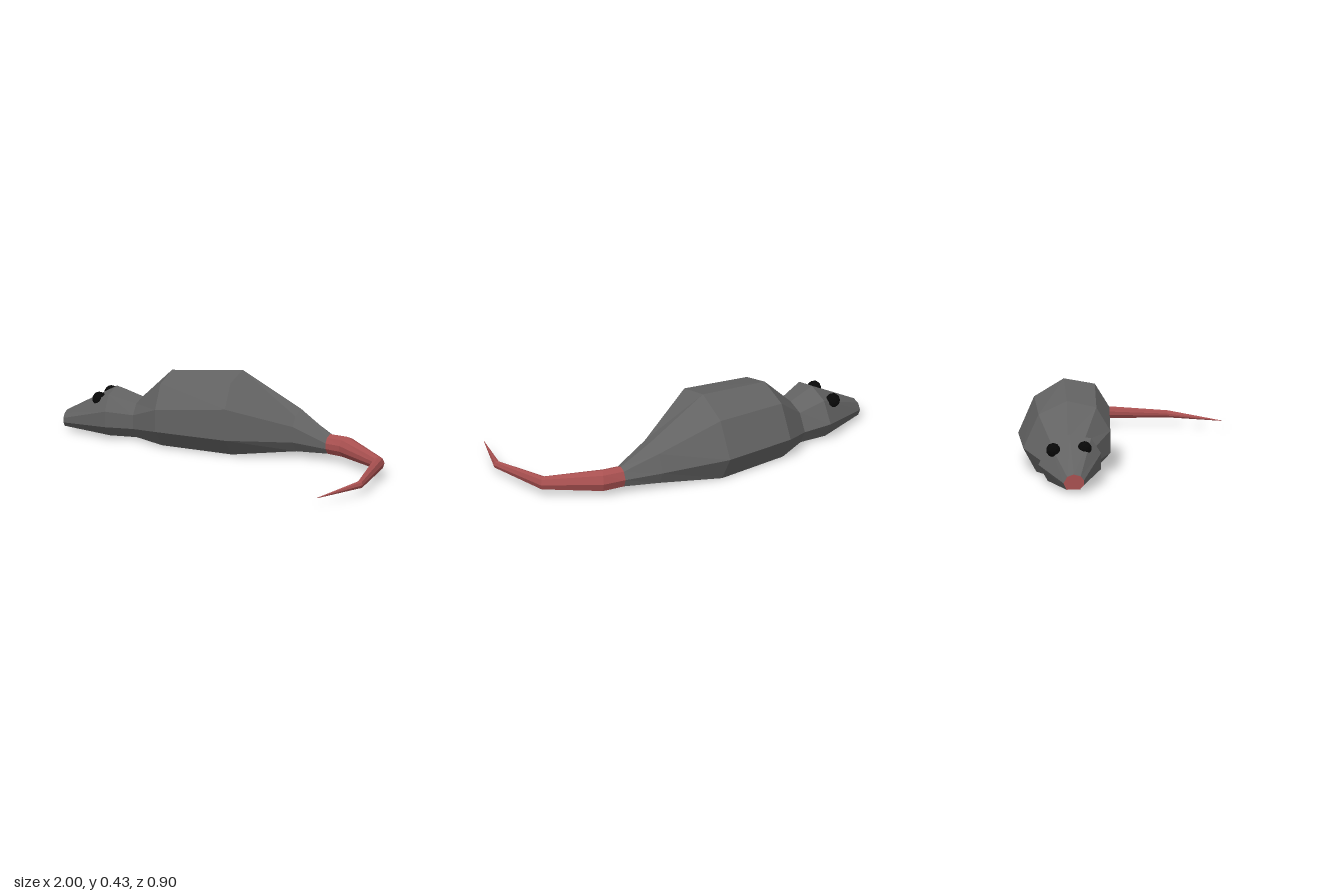
import * as THREE from 'three';

const material = (name, color) => {
  const m = new THREE.MeshStandardMaterial({ color });
  m.name = name;
  return m;
};

// Sideways position of each of the eight section corners, as a share of the half width:
// ridge, upper left, left side, low left, belly left, belly right, right side, upper right
const ACROSS = [0, 0.68, 1, 1, 0.6, -0.7, -1, -0.65];
// Corner heights of a small round section, as a share of its radius
const ROUND = [1, 0.75, 0.2, -0.4, -1, -1, -0.15, 0.7];

// One cross-section: centre x and z, sideways direction, half width, corner heights
const section = (x, z, ux, uz, w, heights) => {
  const len = Math.hypot(ux, uz);
  return heights.map((y, i) => {
    const s = (ACROSS[i] * w) / len;
    return new THREE.Vector3(x + ux * s, y, z + uz * s);
  });
};
const roundSection = (x, z, ux, uz, r, y) =>
  section(x, z, ux, uz, r, ROUND.map((h) => y + h * r));

const facetedGeometry = (points) => {
  const g = new THREE.BufferGeometry().setFromPoints(points);
  g.computeVertexNormals();
  return g;
};

// Skin a list of cross-sections
const loft = (rings) => {
  const pts = [];
  for (let k = 0; k + 1 < rings.length; k++) {
    const a = rings[k], b = rings[k + 1];
    for (let i = 0; i < a.length; i++) {
      const j = (i + 1) % a.length;
      pts.push(a[i], a[j], b[j], a[i], b[j], b[i]);
    }
  }
  return facetedGeometry(pts);
};

// Close the front end of a loft
const cap = (ring) => {
  const c = ring.reduce((s, p) => s.add(p), new THREE.Vector3()).divideScalar(ring.length);
  const pts = [];
  ring.forEach((p, i) => pts.push(c, ring[(i + 1) % ring.length], p));
  return facetedGeometry(pts);
};

export function createModel() {
  const fur = material('grey fur', 0x636363);
  const skin = material('pink skin', 0xa85050);
  const black = material('eye black', 0x080808);
  for (const m of [fur, skin, black]) m.flatShading = true;

  const group = new THREE.Group();
  group.name = 'mouse';
  const add = (name, geometry, mat) => {
    const mesh = new THREE.Mesh(geometry, mat);
    mesh.name = name;
    group.add(mesh);
    return mesh;
  };

  // Head and body, from nose to rump
  const noseRing = roundSection(-0.97, 0.405, 0.55, 0.84, 0.054, 0.06);
  noseRing.forEach((p) => { p.y = 0.06 + (p.y - 0.06) * 0.75; });
  const neckRing = section(-0.615, 0.17, 0.51, 0.86, 0.128,
    [0.215, 0.198, 0.145, 0.07, 0.012, 0.012, 0.085, 0.18]);
  const rumpRing = roundSection(0.33, -0.365, 0.4, 0.9, 0.05, 0.09);
  add('head', loft([
    noseRing,
    section(-0.735, 0.25, 0.52, 0.85, 0.165,
      [0.26, 0.24, 0.16, 0.075, 0.014, 0.014, 0.1, 0.215]),
    neckRing,
  ]), fur);
  add('body', loft([
    neckRing,
    section(-0.47, 0.085, 0.52, 0.85, 0.229,
      [0.38, 0.345, 0.22, 0.1, 0.004, 0.004, 0.13, 0.31]),
    section(-0.125, -0.125, 0.52, 0.85, 0.24,
      [0.425, 0.395, 0.27, 0.1, 0, 0, 0.135, 0.33]),
    section(0.16, -0.298, 0.48, 0.87, 0.1,
      [0.25, 0.225, 0.175, 0.09, 0.033, 0.033, 0.1, 0.2]),
    rumpRing,
  ]), fur);
  add('nose', cap(noseRing), skin);

  // Curled tail
  add('tail', loft([
    rumpRing,
    roundSection(0.43, -0.402, 0, 1, 0.052, 0.09),
    roundSection(0.743, -0.382, -0.4, 0.9, 0.032, 0.077),
    roundSection(0.962, -0.105, -0.96, 0.28, 0.018, 0.056),
    roundSection(1, 0.2, -1, 0.1, 0.001, 0.04),
  ]), skin);

  // Eyes
  for (const [name, x, y, z] of [['leftEye', -0.755, 0.2, 0.35], ['rightEye', -0.842, 0.192, 0.21]]) {
    add(name, new THREE.IcosahedronGeometry(0.038, 1), black).position.set(x, y, z);
  }
  return group;
}
